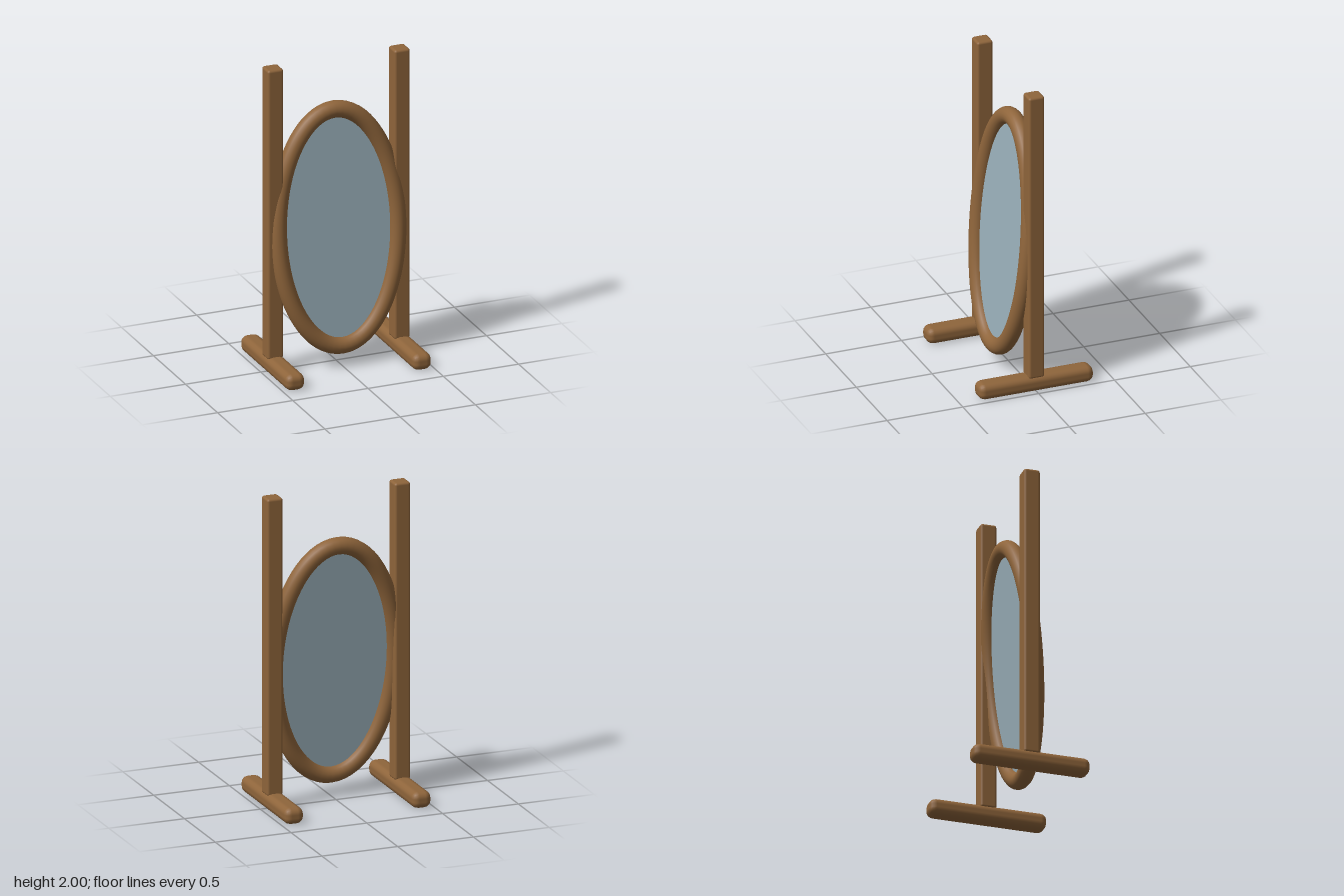
import * as THREE from 'three';
import { RoundedBoxGeometry } from 'three/addons/geometries/RoundedBoxGeometry.js';

// Closed ellipse the frame tube follows
class EllipseLoop extends THREE.Curve {
  constructor(rx, ry) {
    super();
    this.rx = rx;
    this.ry = ry;
  }
  getPoint(t, target = new THREE.Vector3()) {
    const a = t * Math.PI * 2;
    return target.set(this.rx * Math.cos(a), this.ry * Math.sin(a), 0);
  }
}

export function createModel() {
  const model = new THREE.Group();
  model.name = 'standingMirror';
  const wood = new THREE.MeshStandardMaterial({ color: 0x8f653b });
  const glass = new THREE.MeshStandardMaterial({ color: 0x9ab0ba });

  const add = (parent, name, geometry, material, x = 0, y = 0, z = 0) => {
    const mesh = new THREE.Mesh(geometry, material);
    mesh.name = name;
    mesh.position.set(x, y, z);
    parent.add(mesh);
    return mesh;
  };

  // Foot bar and upright post on each side
  for (const [side, s] of [['left', 1], ['right', -1]]) {
    add(model, side + 'Foot', new RoundedBoxGeometry(0.124, 0.105, 0.755, 2, 0.042), wood, s * 0.421, 0.0525, 0);
    add(model, side + 'Post', new RoundedBoxGeometry(0.104, 1.91, 0.104, 2, 0.016), wood, s * 0.421, 1.045, 0);
  }

  // Oval mirror, tipped back between the posts
  const mirror = new THREE.Group();
  mirror.name = 'tiltingMirror';
  mirror.position.set(0, 0.89, 0.03);
  mirror.rotation.x = -THREE.MathUtils.degToRad(5);
  model.add(mirror);

  const rx = 0.396, ry = 0.757;
  add(mirror, 'ovalFrame', new THREE.TubeGeometry(new EllipseLoop(rx, ry), 96, 0.054, 20, true), wood);

  const pane = new THREE.CylinderGeometry(1, 1, 0.016, 64).rotateX(Math.PI / 2).scale(rx, ry, 1);
  add(mirror, 'glassPane', pane, glass);

  return model;
}
